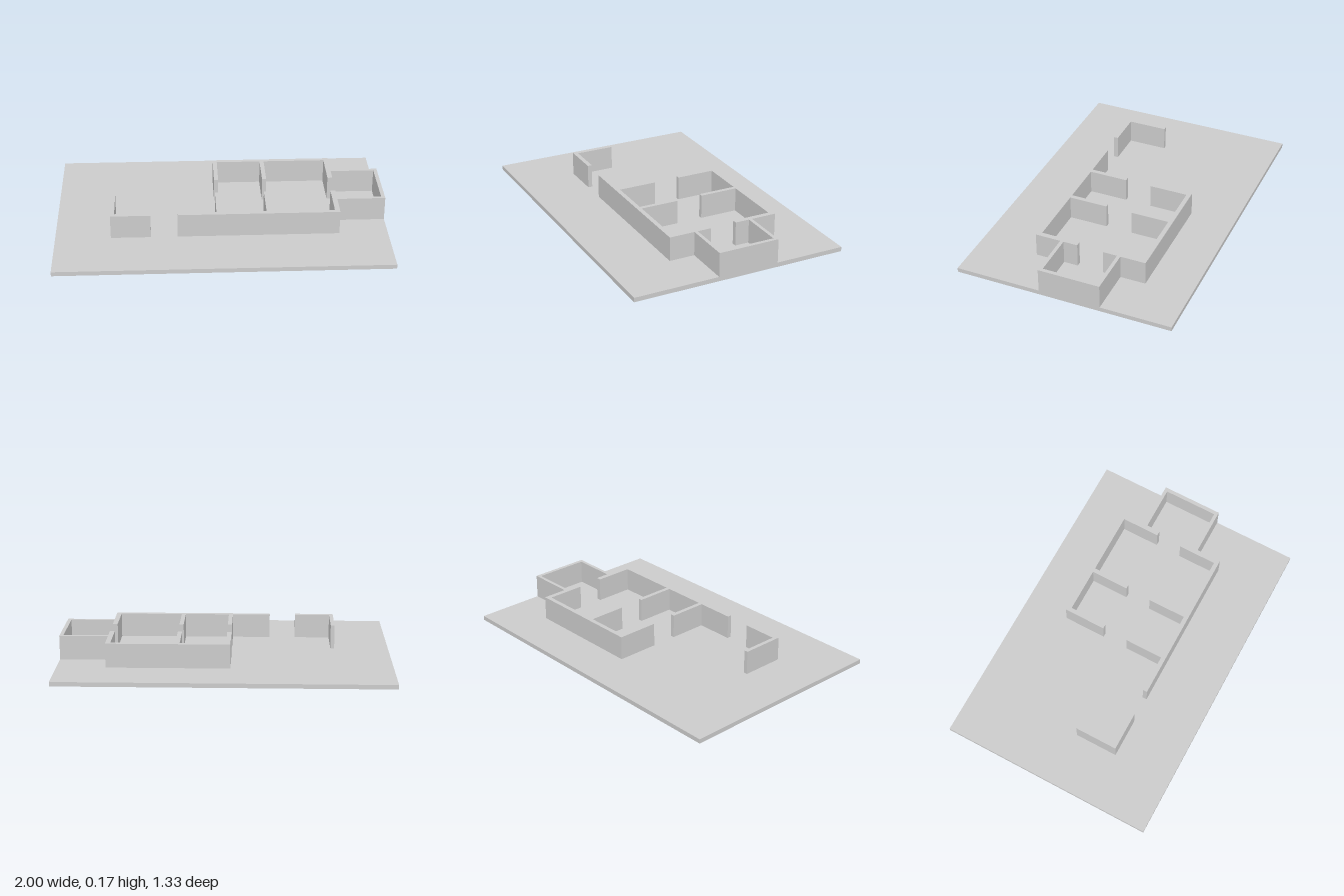
import * as THREE from 'three';

const BASE_TOP = 0.027, WALL_TOP = 0.175;

export function createModel() {
  const model = new THREE.Group();
  model.name = 'floorPlan';
  const material = new THREE.MeshStandardMaterial({ color: 0xcccccc, flatShading: true });

  // Ground slab
  const slab = new THREE.Mesh(new THREE.BoxGeometry(2, BASE_TOP, 1.333), material);
  slab.name = 'groundSlab';
  slab.position.y = BASE_TOP / 2;
  model.add(slab);

  // Raises a wall from its plan outline, given as [x, z] corners
  function addWall(name, outline) {
    const shape = new THREE.Shape(outline.map(([x, z]) => new THREE.Vector2(x, -z)));
    const geometry = new THREE.ExtrudeGeometry(shape, { depth: WALL_TOP - BASE_TOP, bevelEnabled: false });
    geometry.rotateX(-Math.PI / 2);
    const wall = new THREE.Mesh(geometry, material);
    wall.name = name;
    wall.position.y = BASE_TOP;
    model.add(wall);
  }

  // Shared plan lines: outer and inner faces of the walls
  const left = [-0.033, -0.007], middle = [0.267, 0.293], right = [0.677, 0.707];
  const back = [-0.39, -0.363], front = [0.273, 0.3];
  const backEnd = -0.127, frontEnd = 0.035;

  // E-shaped walls of the back rooms
  addWall('backRoomWalls', [
    [left[0], back[0]], [right[1], back[0]], [right[1], backEnd], [right[0], backEnd],
    [right[0], back[1]], [middle[1], back[1]], [middle[1], backEnd], [middle[0], backEnd],
    [middle[0], back[1]], [left[1], back[1]], [left[1], backEnd], [left[0], backEnd],
  ]);

  // Front rooms, with the wall running on past the left partition
  addWall('frontRoomWalls', [
    [-0.267, front[1]], [right[1], front[1]], [right[1], frontEnd], [right[0], frontEnd],
    [right[0], front[0]], [middle[1], front[0]], [middle[1], frontEnd], [middle[0], frontEnd],
    [middle[0], front[0]], [left[1], front[0]], [left[1], frontEnd], [left[0], frontEnd],
    [left[0], front[0]], [-0.267, front[0]],
  ]);

  // U-shaped bay at the side edge of the slab
  addWall('sideBayWalls', [
    [right[1], -0.235], [1, -0.235], [1, 0.143], [right[1], 0.143],
    [right[1], 0.122], [0.977, 0.122], [0.977, -0.214], [right[1], -0.214],
  ]);

  // Free-standing L-shaped corner beside the entrance
  addWall('entranceCornerWall', [
    [-0.667, frontEnd], [-0.643, frontEnd], [-0.643, front[0]],
    [-0.427, front[0]], [-0.427, front[1]], [-0.667, front[1]],
  ]);

  return model;
}
